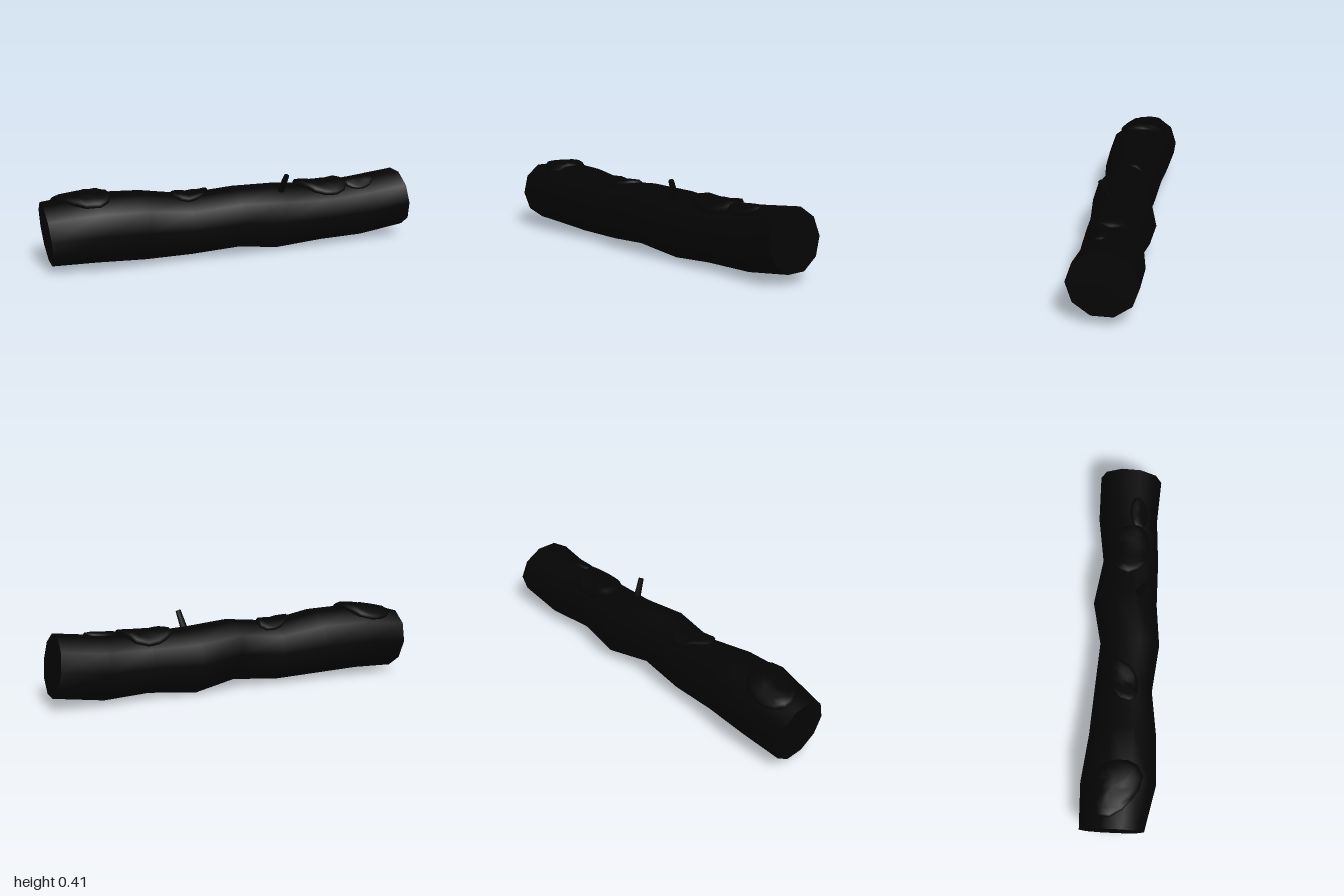
import * as THREE from 'three';

const SIDES = 10;
const STEP = (Math.PI * 2) / SIDES;
// trunk cross-sections: x, top, bottom, front z, back z
const RINGS = [
  [-0.985, 0.34, 0.03, 0.135, -0.19],
  [-0.75, 0.372, 0.035, 0.187, -0.195],
  [-0.5, 0.365, 0.025, 0.18, -0.165],
  [-0.25, 0.325, 0.02, 0.15, -0.15],
  [0, 0.348, 0.04, 0.18, -0.132],
  [0.24, 0.335, 0.003, 0.16, -0.18],
  [0.49, 0.32, 0.025, 0.16, -0.14],
  [0.74, 0.335, 0.022, 0.146, -0.175],
  [0.978, 0.36, 0.06, 0.162, -0.176],
];

// corner k of a trunk ring; the two ends are cut at a slant
function corner(i, k) {
  const [x, top, bottom, front, back] = RINGS[i];
  const a = k * STEP;
  const y = (top + bottom) / 2 + ((top - bottom) / 2 / Math.sin(2 * STEP)) * Math.sin(a);
  const z = (front + back) / 2 + ((front - back) / 2) * Math.cos(a);
  let dx = 0;
  if (i === 0) dx = -0.1 * (y - 0.185);
  if (i === RINGS.length - 1) dx = -0.11 * (y - 0.21) - 0.05 * z;
  return new THREE.Vector3(x + dx, y, z);
}

// point on the faceted bark at x and angle, lifted outwards by h
function onBark(x, angle, h) {
  let i = 0;
  while (i < RINGS.length - 2 && x > RINGS[i + 1][0]) i++;
  const t = (x - RINGS[i][0]) / (RINGS[i + 1][0] - RINGS[i][0]);
  const k = Math.floor(angle / STEP);
  const s = angle / STEP - k;
  const p = corner(i, k).lerp(corner(i, k + 1), s);
  p.lerp(corner(i + 1, k).lerp(corner(i + 1, k + 1), s), t);
  p.x = x;
  return p.add(new THREE.Vector3(0, Math.sin(angle), Math.cos(angle)).multiplyScalar(h));
}

function surface(points, index) {
  const g = new THREE.BufferGeometry().setFromPoints(points);
  g.setIndex(index);
  g.computeVertexNormals();
  return g;
}

function trunkGeometry() {
  const points = [], index = [];
  RINGS.forEach((_, i) => {
    for (let k = 0; k < SIDES; k++) points.push(corner(i, k));
  });
  for (let i = 0; i < RINGS.length - 1; i++) {
    for (let k = 0; k < SIDES; k++) {
      const a = i * SIDES + k, d = i * SIDES + ((k + 1) % SIDES);
      index.push(a, a + SIDES, d + SIDES, a, d + SIDES, d);
    }
  }
  return surface(points, index);
}

function endGeometry(i) {
  const points = [], index = [];
  for (let k = 0; k < SIDES; k++) points.push(corner(i, k));
  const centre = points.reduce((c, p) => c.add(p), new THREE.Vector3()).divideScalar(SIDES);
  points.push(centre);
  for (let k = 0; k < SIDES; k++) {
    const n = (k + 1) % SIDES;
    index.push(SIDES, ...(i === 0 ? [k, n] : [n, k]));
  }
  return surface(points, index);
}

// raised oval patch wrapped over the bark, with a steep rim
function patchGeometry(x, angle, rx, ra, skew, height) {
  const N = 14;
  const loops = [[0.35, 1], [0.7, 1], [0.92, 0.85], [1, 0.4], [1, -0.4]];
  const points = [onBark(x, angle, height)], index = [];
  loops.forEach(([r, h]) => {
    for (let k = 0; k < N; k++) {
      const a = (k / N) * Math.PI * 2;
      const wobble = r * (1 + 0.06 * Math.sin(3 * a + x * 9));
      const v = Math.sin(a) * wobble;
      points.push(onBark(x + rx * wobble * Math.cos(a) + skew * v, angle + ra * v, height * h));
    }
  });
  for (let k = 0; k < N; k++) {
    const n = (k + 1) % N;
    index.push(0, 1 + k, 1 + n);
    for (let l = 0; l < loops.length - 1; l++) {
      const a = 1 + l * N + k, b = 1 + l * N + n;
      index.push(a, a + N, b + N, a, b + N, b);
    }
  }
  return surface(points, index);
}

export function createModel() {
  const model = new THREE.Group();
  model.name = 'fallenLog';
  const dark = new THREE.MeshStandardMaterial({ color: 0x040404 });
  const add = (name, geometry) => {
    const mesh = new THREE.Mesh(geometry, dark);
    mesh.name = name;
    model.add(mesh);
    return mesh;
  };

  add('trunk', trunkGeometry());
  add('rightCutEnd', endGeometry(0));
  add('leftCutEnd', endGeometry(RINGS.length - 1));

  // moss patches: x, angle round the trunk, half length, half angle, skew, height
  [
    [-0.8, 1.66, 0.14, 0.76, -0.03, 0.022],
    [-0.24, 1.64, 0.1, 0.6, 0.05, 0.017],
    [0.5, 1.57, 0.14, 0.78, -0.02, 0.024],
    [0.71, 1.2, 0.09, 0.33, 0, 0.016],
  ].forEach((p) => add('mossPatch', patchGeometry(...p)));

  // broken twig standing on the upper front
  const from = new THREE.Vector3(0.247, 0.315, 0.055);
  const to = new THREE.Vector3(0.262, 0.41, 0.1);
  const axis = to.clone().sub(from);
  const twig = add('twig', new THREE.CylinderGeometry(0.014, 0.019, axis.length(), 7));
  twig.position.copy(from).lerp(to, 0.5);
  twig.quaternion.setFromUnitVectors(new THREE.Vector3(0, 1, 0), axis.normalize());
  return model;
}
